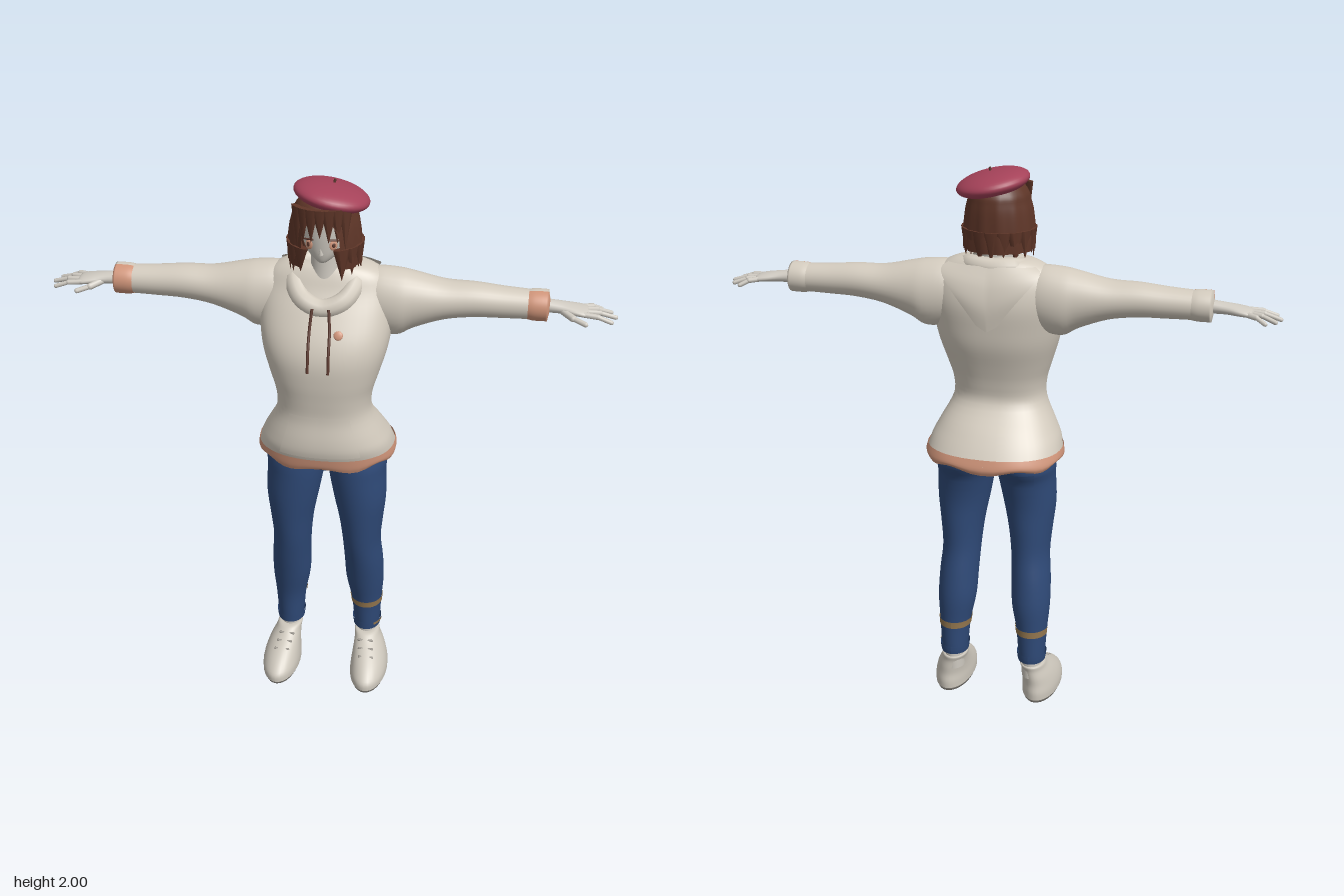
import * as THREE from 'three';

const mat = (name, color, side = THREE.FrontSide) => {
  const m = new THREE.MeshStandardMaterial({ color, side });
  m.name = name;
  return m;
};

// Rows are [y, centreX, centreZ, radiusX, radiusZ], ascending in y.
// smooth() adds in-between rows along a spline.
function smooth(rows, steps = 4) {
  const out = [];
  for (let i = 0; i < rows.length - 1; i++) {
    const r = [-1, 0, 1, 2].map(k => rows[Math.min(rows.length - 1, Math.max(0, i + k))]);
    for (let s = 0; s < steps; s++) {
      const t = s / steps;
      out.push(r[1].map((_, c) => {
        const [a, b, d, e] = r.map(q => q[c]);
        return b + 0.5 * t * (d - a + t * (2 * a - 5 * b + 4 * d - e + t * (3 * (b - d) + e - a)));
      }));
    }
  }
  out.push(rows[rows.length - 1]);
  return out;
}

// Skin over the rows; a sixth row value limits the skin to that half angle about `centre`.
function skin(rows, { centre = 0, p = 1, n = 32, warp } = {}) {
  const pos = [], idx = [], open = rows[0].length > 5, cols = open ? n + 1 : n;
  const pw = v => Math.sign(v) * Math.abs(v) ** p;
  rows.forEach(([y, cx, cz, rx, rz, half = Math.PI], i) => {
    for (let j = 0; j < cols; j++) {
      const t = centre - half + 2 * half * j / n;
      const v = new THREE.Vector3(cx + rx * pw(Math.sin(t)), y, cz + rz * pw(Math.cos(t)));
      if (warp) warp(v, t, i / (rows.length - 1));
      pos.push(v.x, v.y, v.z);
    }
  });
  for (let i = 0; i < rows.length - 1; i++) for (let j = 0; j < n; j++) {
    const a = i * cols + j, b = i * cols + (j + 1) % cols;
    idx.push(a, b, a + cols, b, b + cols, a + cols);
  }
  const g = new THREE.BufferGeometry();
  g.setAttribute('position', new THREE.Float32BufferAttribute(pos, 3));
  g.setIndex(idx);
  g.computeVertexNormals();
  return g;
}

// Patch lying just above a skinned body between two heights.
function panel(rows, y0, y1, off, h0, h1, opts) {
  const at = y => {
    const i = Math.max(1, rows.findIndex(r => r[0] >= y));
    const a = rows[i - 1], b = rows[i], t = (y - a[0]) / (b[0] - a[0]);
    return a.map((v, c) => v + (b[c] - v) * t);
  };
  const out = [];
  for (let i = 0; i <= 12; i++) {
    const r = at(y0 + (y1 - y0) * i / 12);
    out.push([r[0], r[1], r[2], r[3] + off, r[4] + off, h0 + (h1 - h0) * i / 12]);
  }
  return skin(out, opts);
}

const V = a => new THREE.Vector3(...a);
const tube = (pts, r, closed = false) =>
  new THREE.TubeGeometry(new THREE.CatmullRomCurve3(pts.map(V), closed), closed ? 48 : 16, r, 10, closed);

function rod(a, b, r) {
  const d = V(b).sub(V(a)), g = new THREE.CapsuleGeometry(r, d.length(), 4, 8);
  g.applyQuaternion(new THREE.Quaternion().setFromUnitVectors(V([0, 1, 0]), d.clone().normalize()));
  return g.translate(...V(a).addScaledVector(d, 0.5).toArray());
}

function mirror(geo) {
  const g = geo.clone().scale(-1, 1, 1), ix = g.index.array;
  for (let i = 0; i < ix.length; i += 3) [ix[i], ix[i + 1]] = [ix[i + 1], ix[i]];
  return g;
}

export function createModel() {
  const group = new THREE.Group(), D = THREE.DoubleSide;
  const cream = mat('cream cloth', 0xd3cbbe, D), pale = mat('pale skin', 0xcfcac1);
  const denim = mat('blue denim', 0x2f4a78, D), trim = mat('peach trim', 0xd0957a, D);
  const brown = mat('brown hair', 0x5f3628, D), red = mat('raspberry felt', 0xa54259);
  const gold = mat('tan stripe', 0x94774f, D), cord = mat('dark brown cord', 0x5b382e);
  const shoeMat = mat('off-white shoe', 0xcdc7bc), soleMat = mat('grey sole', 0x9b968e);

  const add = (name, geo, m) => {
    const mesh = new THREE.Mesh(geo, m);
    mesh.name = name;
    group.add(mesh);
  };
  const both = (name, geo, m) => {
    add(name + 'Left', geo, m);
    add(name + 'Right', mirror(geo), m);
  };

  // Hoodie body
  const P = { p: 0.87, n: 48 };
  const torso = smooth([
    [1.0, 0, -0.02, 0.245, 0.19], [1.05, 0, 0.005, 0.232, 0.183], [1.1, 0, 0.025, 0.207, 0.165],
    [1.18, 0, 0.055, 0.168, 0.127], [1.25, 0, 0.057, 0.168, 0.132], [1.32, 0, 0.052, 0.188, 0.146],
    [1.4, 0, 0.04, 0.212, 0.16], [1.47, 0, 0.025, 0.225, 0.156], [1.55, 0, 0, 0.23, 0.138],
    [1.62, 0, -0.015, 0.222, 0.11], [1.67, 0, -0.015, 0.195, 0.088], [1.7, 0, -0.015, 0.14, 0.07],
    [1.71, 0, -0.015, 0.08, 0.05]]);
  add('hoodieBody', skin(torso, P), cream);
  add('hem', skin(smooth([[0.972, 0, -0.02, 0.243, 0.186], [0.99, 0, -0.02, 0.249, 0.193],
    [1.022, 0, -0.012, 0.244, 0.191]]), {
    ...P, warp: (v, t, k) => { v.y += (1 - k) * (0.008 * Math.cos(7 * t) + 0.012 * Math.sin(t) ** 2); }
  }), trim);
  add('frontPocket', panel(torso, 1.04, 1.2, 0.007, 0.58, 0.6, P), cream);
  add('hoodBack', panel(torso, 1.47, 1.69, 0.013, 0.12, 1.0, { ...P, centre: Math.PI,
    warp: (v, t, k) => { v.y += (1 - k) * Math.abs(v.x) * 0.6; } }), cream);
  add('hoodCollar', tube([[0, 1.575, 0.105], [0.07, 1.6, 0.09], [0.105, 1.655, 0.03], [0.08, 1.68, -0.05],
    [0, 1.68, -0.075], [-0.08, 1.68, -0.05], [-0.105, 1.655, 0.03], [-0.07, 1.6, 0.09]], 0.035, true), cream);
  both('drawstring', tube([[0.028, 1.59, 0.146], [0.034, 1.52, 0.166], [0.035, 1.45, 0.196],
    [0.035, 1.38, 0.209]], 0.005), cord);
  add('badge', new THREE.SphereGeometry(0.016, 16, 10).scale(1, 1, 0.35).rotateX(-0.4)
    .translate(0.063, 1.505, 0.163), trim);

  // Sleeves, skinned upright and then laid along x
  const side = g => g.rotateZ(-Math.PI / 2);
  both('sleeve', side(skin(smooth([
    [0.1, -1.58, -0.02, 0.08, 0.06], [0.16, -1.573, -0.02, 0.113, 0.085], [0.24, -1.565, -0.02, 0.119, 0.094],
    [0.3, -1.575, -0.02, 0.098, 0.087], [0.4, -1.583, -0.02, 0.069, 0.074], [0.5, -1.589, -0.02, 0.06, 0.065],
    [0.6, -1.586, -0.02, 0.054, 0.057], [0.7, -1.584, -0.02, 0.05, 0.052]]))), cream);
  const cuff = smooth([[0.68, -1.584, -0.02, 0.051, 0.053], [0.7, -1.584, -0.02, 0.054, 0.056],
    [0.735, -1.584, -0.02, 0.054, 0.056], [0.75, -1.584, -0.02, 0.05, 0.052], [0.752, -1.584, -0.02, 0.02, 0.022]]);
  both('cuffFront', side(panel(cuff, 0.68, 0.752, 0, 1.4, 1.4)), trim);
  both('cuffBack', side(panel(cuff, 0.68, 0.752, 0, Math.PI - 1.4, Math.PI - 1.4, { centre: Math.PI })), cream);

  // Hands
  both('palm', side(skin(smooth([[0.73, -1.584, -0.02, 0.024, 0.026], [0.79, -1.581, -0.02, 0.02, 0.031],
    [0.84, -1.576, -0.02, 0.017, 0.043], [0.875, -1.572, -0.02, 0.012, 0.042], [0.885, -1.572, -0.02, 0, 0]]),
    { n: 20 })), pale);
  [[-0.053, 0.925, -0.085], [-0.031, 0.957, -0.058], [-0.008, 0.972, -0.02], [0.014, 0.957, 0.024]]
    .forEach(([z, x, zt], i) => {
      const mid = [0.865 + (x - 0.865) * 0.5, 1.57, (z + zt) / 2];
      both('finger' + i, rod([0.862, 1.573, z], mid, 0.0095), pale);
      both('fingertip' + i, rod(mid, [x, 1.555, zt], 0.0078), pale);
    });
  both('thumb', rod([0.795, 1.575, 0], [0.83, 1.565, 0.032], 0.012), pale);
  both('thumbTip', rod([0.83, 1.565, 0.032], [0.872, 1.555, 0.053], 0.009), pale);

  // Jeans
  const leg = smooth([
    [0.17, 0.15, -0.053, 0.046, 0.057], [0.2, 0.15, -0.053, 0.05, 0.06], [0.3, 0.148, -0.048, 0.058, 0.066],
    [0.4, 0.142, -0.038, 0.071, 0.08], [0.5, 0.138, -0.021, 0.072, 0.088], [0.6, 0.131, -0.003, 0.071, 0.092],
    [0.7, 0.129, 0.005, 0.081, 0.1], [0.8, 0.124, 0.01, 0.096, 0.108], [0.9, 0.113, 0.004, 0.104, 0.122],
    [0.97, 0.107, -0.01, 0.108, 0.138], [1.08, 0.08, 0, 0.085, 0.12]]);
  const back = { centre: Math.PI };
  both('jeansLeg', skin(leg), denim);
  both('trouserCuff', panel(leg, 0.171, 0.203, 0.005, Math.PI, Math.PI), denim);
  both('backPocket', panel(leg, 0.85, 0.95, 0.004, 0.45, 0.55, back), denim);
  add('stripeLeft', panel(leg, 0.282, 0.308, 0.003, Math.PI, Math.PI), gold);
  add('stripeRight', mirror(panel(leg, 0.282, 0.308, 0.003, 1.5, 1.5, back)), gold);
  add('lowStripeLeft', panel(leg, 0.19, 0.202, 0.008, 0.5, 0.5, { centre: 1.1 }), gold);
  add('pelvis', skin(smooth([[0.92, 0, 0.0, 0.05, 0.07], [0.95, 0, -0.005, 0.13, 0.12],
    [1.0, 0, -0.005, 0.195, 0.135], [1.1, 0, 0.02, 0.16, 0.12]])), denim);

  // Shoes and ankles
  both('ankle', skin([[0.1, 0.152, -0.053, 0.038, 0.05], [0.2, 0.15, -0.053, 0.038, 0.05]]), pale);
  both('sole', skin(smooth([[0, 0.172, 0.04, 0, 0], [0.001, 0.172, 0.04, 0.065, 0.144],
    [0.018, 0.172, 0.04, 0.07, 0.15], [0.022, 0.172, 0.04, 0.066, 0.145]], 1)), soleMat);
  both('shoe', skin(smooth([[0.014, 0.172, 0.04, 0.071, 0.151], [0.04, 0.172, 0.038, 0.071, 0.149],
    [0.07, 0.17, 0.024, 0.066, 0.13], [0.1, 0.165, 0, 0.058, 0.106], [0.13, 0.157, -0.028, 0.049, 0.077],
    [0.15, 0.152, -0.046, 0.046, 0.062], [0.153, 0.152, -0.05, 0.03, 0.045]])), shoeMat);
  for (let i = 0; i < 3; i++) {
    const y = 0.105 + i * 0.017, z = 0.096 - i * 0.03, x = 0.165 - i * 0.005;
    both('lace' + i, rod([x - 0.025, y - 0.005, z - 0.004], [x + 0.025, y - 0.005, z - 0.004], 0.005), soleMat);
  }

  // Head and face
  add('neck', skin(smooth([[1.56, 0, 0.03, 0.07, 0.07], [1.62, 0, 0.02, 0.061, 0.06],
    [1.7, 0, 0.02, 0.052, 0.052], [1.8, 0, 0.02, 0.052, 0.052]])), pale);
  add('head', skin(smooth([[1.738, 0, 0.085, 0, 0], [1.742, 0, 0.083, 0.018, 0.03],
    [1.765, 0, 0.065, 0.048, 0.06], [1.8, 0, 0.047, 0.07, 0.085], [1.85, 0, 0.04, 0.083, 0.098],
    [1.9, 0, 0.04, 0.083, 0.098], [1.95, 0, 0.04, 0.05, 0.06]])), pale);
  add('nose', new THREE.ConeGeometry(0.008, 0.025, 8).rotateX(0.3).translate(0, 1.79, 0.134), pale);
  both('eye', new THREE.SphereGeometry(0.014, 16, 10).scale(1, 1.25, 0.3).rotateY(0.5)
    .translate(0.04, 1.81, 0.124), trim);
  both('pupil', new THREE.SphereGeometry(0.006, 10, 8).scale(1, 1.4, 0.4).rotateY(0.5)
    .translate(0.042, 1.811, 0.1275), cord);
  both('lash', rod([0.026, 1.83, 0.134], [0.055, 1.826, 0.118], 0.003), cord);

  // Hair: a bob shell open at the face, with pointed locks around it
  const hair = smooth([[1.725, 0, 0.033, 0.122, 0.114, 2.6], [1.78, 0, 0.035, 0.124, 0.12, 2.6],
    [1.85, 0, 0.037, 0.117, 0.123, 2.62], [1.89, 0, 0.038, 0.108, 0.121, 2.8], [1.92, 0, 0.037, 0.099, 0.113, Math.PI],
    [1.95, 0, 0.035, 0.07, 0.08, Math.PI], [1.96, 0, 0.035, 0, 0, Math.PI]]);
  add('hairShell', skin(hair, { ...back, n: 40, warp: (v, t, k) => {
    const s = 1 + 0.03 * (1 - k) * Math.cos(13 * t);
    v.x *= s; v.z = 0.035 + (v.z - 0.035) * s;
  } }), brown);
  const lock = (t, rx, rz, y0, y1, w) => new THREE.ConeGeometry(w, y0 - y1, 7)
    .rotateX(Math.PI).scale(1, 1, 0.4).rotateY(t)
    .translate(rx * Math.sin(t), (y0 + y1) / 2, 0.035 + rz * Math.cos(t));
  for (let i = 0; i < 15; i++) {
    const t = 0.62 + (2 * Math.PI - 1.24) * i / 14;
    add('hairLock' + i, lock(t, 0.118, 0.113, 1.8, 1.688 + 0.012 * (i % 3), 0.034), brown);
  }
  [-0.75, -0.5, -0.25, 0, 0.25, 0.5, 0.75].forEach((t, i) => {
    add('fringe' + i, lock(t, 0.117, 0.122, 1.94, 1.83 - 0.07 * t * t + 0.012 * (i % 2), 0.027), brown);
  });

  // Beret, tilted to one side
  const tilt = g => g.rotateZ(-0.2).rotateX(-0.07).translate(0.02, 1.948, 0.027);
  add('beret', tilt(new THREE.SphereGeometry(1, 40, 24).scale(0.128, 0.042, 0.131)), red);
  add('beretStem', tilt(new THREE.CylinderGeometry(0.004, 0.005, 0.02, 8).translate(0, 0.043, 0)), cord);

  return group;
}
